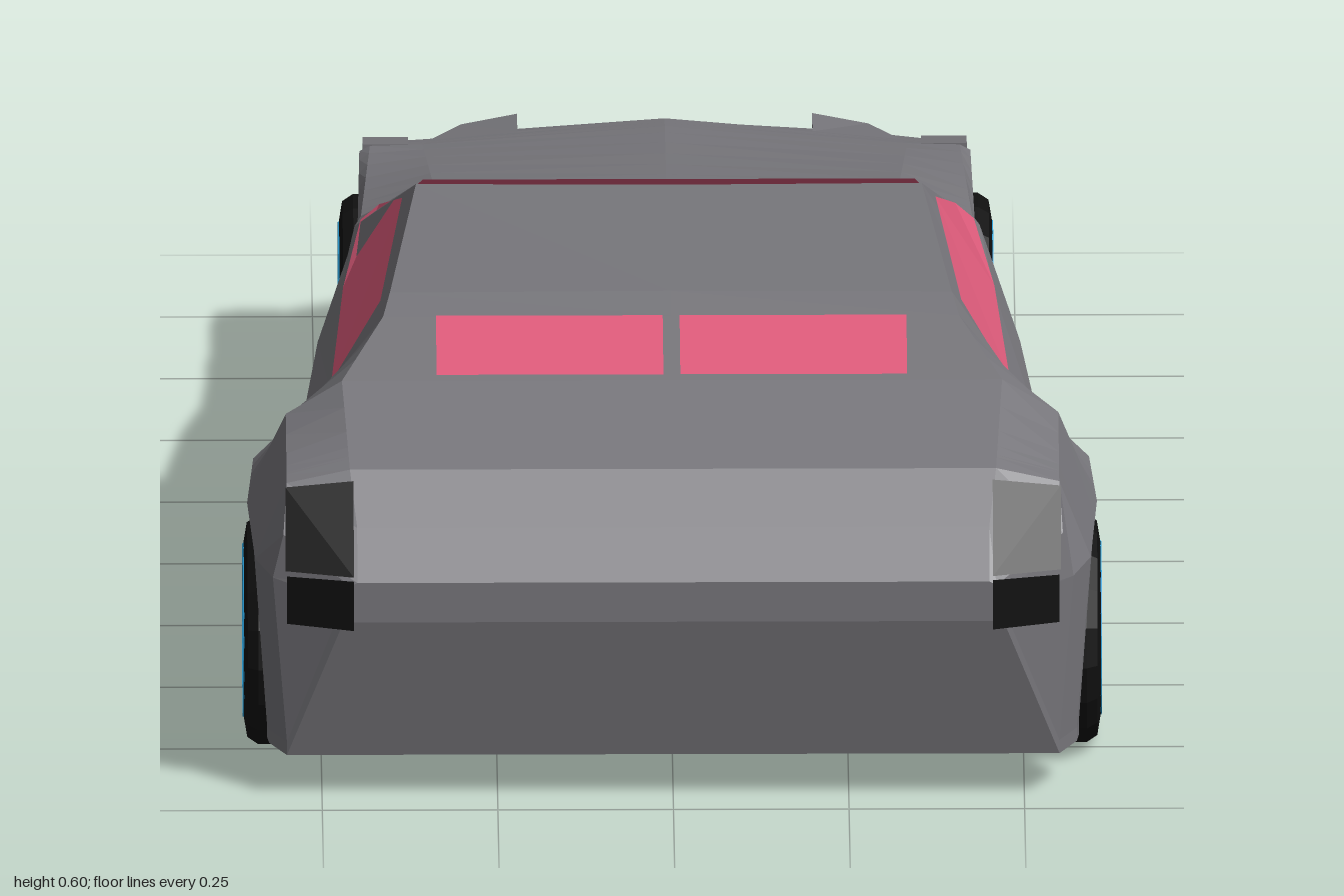
import * as THREE from 'three';

const mat = (color, flat = true) => new THREE.MeshStandardMaterial({ color, flatShading: flat, side: THREE.DoubleSide });
const paint = mat(0x77767b), black = mat(0x101010), glass = mat(0xe05c7c), dark = mat(0x555459);
const red = mat(0xe0222c), yellow = mat(0xe2b22e), blue = mat(0x2a9fd8);

// Body stations: z, bottom y, sill x, waist x y, shoulder x y, roof edge x y, centre top y
const KEYS = [
  [1.0, .29, .47, .47, .32, .46, .345, .45, .35, .35],
  [.95, .07, .55, .57, .34, .555, .405, .45, .415, .415],
  [.90, .07, .575, .595, .35, .55, .465, .46, .485, .485],
  [.70, .07, .60, .605, .36, .55, .495, .47, .545, .545],
  [.52, .075, .59, .595, .36, .505, .45, .41, .575, .575],
  [.45, .11, .53, .53, .36, .485, .435, .40, .585, .587],
  [.05, .11, .50, .50, .36, .465, .43, .36, .60, .598],
  [-.30, .11, .455, .455, .36, .445, .405, .40, .44, .44],
  [-.42, .07, .44, .44, .35, .435, .375, .33, .415, .42],
  [-.75, .06, .435, .435, .35, .42, .358, .345, .36, .387],
  [-.80, .06, .42, .42, .32, .40, .345, .33, .35, .38],
  [-.84, .055, .36, .36, .30, .35, .32, .27, .345, .362],
  [-.90, .055, .28, .29, .24, .28, .29, .25, .315, .325],
  [-.93, .055, .27, .27, .18, .26, .22, .24, .235, .24],
];
// Wheel pairs: centre z, inner and outer x, rim material
const WHEELS = [
  { name: 'rearWheel', z: .70, x0: .46, x1: .61, rim: yellow },
  { name: 'frontWheel', z: -.60, x0: .375, x1: .465, rim: red },
];

function station(z) {
  let i = 0;
  while (i < KEYS.length - 2 && z < KEYS[i + 1][0]) i++;
  const a = KEYS[i], b = KEYS[i + 1], t = (z - a[0]) / (b[0] - a[0]);
  return a.map((v, k) => v + (b[k] - v) * t);
}

// Closed ring of points at z, with a recess inside the wheel arches
function ring(z) {
  const [, yb, xo, xw, yw, xs, ys, xr, yr, yt] = station(z);
  let xi = xo, ya = yb + .02;
  for (const w of WHEELS) {
    const d = Math.abs(z - w.z);
    if (d < .172) {
      xi = w.x0 - .015;
      ya = d > .165 ? .1 : Math.min(yw - .008, .17 + Math.sqrt(.176 ** 2 - d * d));
    }
  }
  const half = [[xi, yb], [xi, ya], [xo, ya], [xw, yw], [xs, ys], [xr, yr]];
  return [[0, yb], ...half, [0, yt], ...half.reverse().map(([x, y]) => [-x, y])].map(([x, y]) => [x, y, z]);
}

function geometryFrom(points) {
  const g = new THREE.BufferGeometry();
  g.setAttribute('position', new THREE.Float32BufferAttribute(points.flat(), 3));
  g.computeVertexNormals();
  return g;
}

function bodyGeometry() {
  const zs = KEYS.map(k => k[0]);
  for (const w of WHEELS)
    for (const d of [.176, .17, .15, .115, .06]) zs.push(w.z + d, w.z - d);
  const rings = [...new Set([...zs, -.6])].sort((a, b) => b - a).map(ring);
  const pts = [], n = rings[0].length;
  for (let i = 0; i < rings.length - 1; i++) {
    const a = rings[i], b = rings[i + 1];
    for (let j = 0; j < n; j++) {
      const k = (j + 1) % n;
      pts.push(a[j], b[j], b[k], a[j], b[k], a[k]);
    }
  }
  const first = rings[0], last = rings[rings.length - 1];
  for (let j = 1; j < n - 1; j++) {
    pts.push(first[0], first[j], first[j + 1], last[0], last[j + 1], last[j]);
  }
  return geometryFrom(pts);
}

// Thin four-cornered panels laid on the body
function panel(...quads) {
  return geometryFrom(quads.flatMap(([a, b, c, d]) => [a, b, c, a, c, d]));
}

function extrude(points, depth) {
  const shape = new THREE.Shape(points.map(p => new THREE.Vector2(...p)));
  return new THREE.ExtrudeGeometry(shape, { depth, bevelEnabled: false });
}

function wheel({ name, x0, x1, z, rim }, side) {
  const g = new THREE.Group(), w = (x1 - x0) / 2;
  const lathe = pts => new THREE.LatheGeometry(pts.map(p => new THREE.Vector2(...p)), 18).rotateZ(-Math.PI / 2);
  const add = (geo, m, n) => {
    const mesh = new THREE.Mesh(geo, m);
    mesh.name = n;
    g.add(mesh);
  };
  add(lathe([[0, -w], [.125, -w], [.155, -w + .005], [.165, -w + .02], [.165, w - .02],
    [.155, w - .005], [.125, w], [.12, w - .012]]), black, 'tyre');
  add(lathe([[.123, w - .004], [.1, w - .012], [.03, w - .03], [0, w - .03]]), rim, 'rim');
  add(new THREE.TorusGeometry(.122, .004, 6, 24).rotateY(Math.PI / 2).translate(w - .002, 0, 0), blue, 'rimRing');
  add(new THREE.CylinderGeometry(.025, .025, .028, 12).rotateZ(Math.PI / 2).translate(w - .018, 0, 0), blue, 'hubCap');
  g.name = name;
  g.position.set(side * (x0 + x1) / 2, .167, z);
  if (side < 0) g.rotation.y = Math.PI;
  return g;
}

export function createModel() {
  const car = new THREE.Group();
  car.name = 'car';
  const add = (name, geo, m) => {
    const mesh = new THREE.Mesh(geo, m);
    mesh.name = name;
    car.add(mesh);
    return mesh;
  };
  const mirrored = (name, geo, m) => {
    add(name + 'Left', geo, m);
    add(name + 'Right', geo, m).scale.x = -1;
  };

  add('body', bodyGeometry(), paint);

  // Windows
  add('windscreen', panel([[-.35, .603, .04], [.35, .603, .04], [.38, .447, -.298], [-.38, .447, -.298]]), glass);
  mirrored('rearWindow', panel([[.012, .55, .69], [.335, .55, .69], [.335, .578, .525], [.012, .578, .525]]), glass);
  const onSide = (z, f) => {
    const s = station(z);
    return [s[5] + (s[7] - s[5]) * f + .005, s[6] + (s[8] - s[6]) * f + .003, z];
  };
  const glassEdge = [[.45, .08, .9], [.05, .06, .86], [-.28, .3, .85]].map(([z, lo, hi]) => [onSide(z, lo), onSide(z, hi)]);
  mirrored('sideWindow', panel(...[0, 1].map(i =>
    [glassEdge[i][0], glassEdge[i + 1][0], glassEdge[i + 1][1], glassEdge[i][1]])), glass);

  // Black lamps at the +z end
  mirrored('upperLamp', panel([[.455, .36, 1.005], [.552, .36, .978], [.552, .465, .918], [.455, .478, .928]]), black);
  mirrored('lowerLamp', panel([[.455, .28, 1.008], [.55, .28, .978], [.55, .352, .978], [.455, .355, 1.008]]), black);

  // Low nose at the -z end: fender tips, lip, grilles and lamp slots
  mirrored('fenderTip', extrude([[.75, .36], [.82, .345], [.855, .3], [.872, .22], [.88, .1], [.86, .06],
    [.79, .06], [.785, .22], [.75, .3]], .065).rotateY(Math.PI / 2).translate(.365, 0, 0), paint);
  const outer = [[.43, .80], [.425, .87], [.40, .95], [.33, 1.0]], inner = [[.32, .965], [.365, .94], [.39, .80]];
  const flip = list => list.map(([x, v]) => [-x, v]).reverse();
  add('noseLip', extrude([...outer, ...flip(outer), ...flip(inner), ...inner], .02)
    .rotateX(-Math.PI / 2).translate(0, .09, 0), paint);
  mirrored('grille', new THREE.BoxGeometry(.14, .075, .02).rotateX(.3).translate(.08, .25, -.92), dark);
  mirrored('lampCover', panel([[.21, .386, -.73], [.335, .374, -.73], [.29, .364, -.82], [.21, .38, -.82]]), paint);
  mirrored('lampSlot', panel([[.21, .38, -.82], [.29, .364, -.82], [.29, .345, -.825], [.21, .355, -.825]]), black);

  for (const w of WHEELS) for (const side of [1, -1]) car.add(wheel(w, side));
  return car;
}
